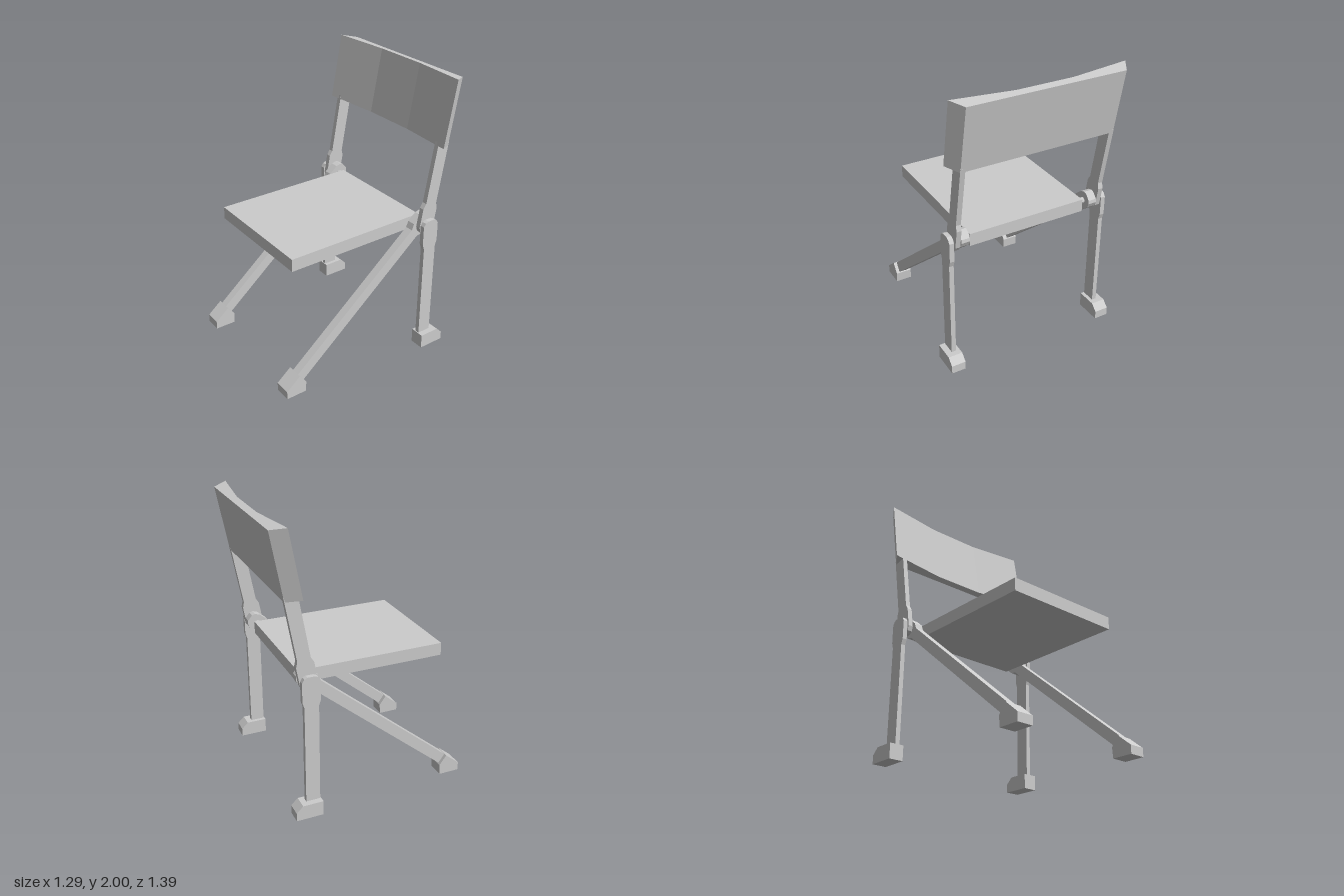
import * as THREE from 'three';

const material = new THREE.MeshStandardMaterial({ color: 0xcccccc, flatShading: true });

export function createModel() {
  const chair = new THREE.Group();
  chair.name = 'foldingChair';

  const add = (name, geometry) => {
    const mesh = new THREE.Mesh(geometry, material);
    mesh.name = name;
    chair.add(mesh);
    return mesh;
  };

  // Side profile of [z, y] points, extruded across x from x0 to x1
  const slab = (points, x0, x1) => {
    const shape = new THREE.Shape(points.map(([z, y]) => new THREE.Vector2(z, y)));
    return new THREE.ExtrudeGeometry(shape, { depth: x1 - x0, bevelEnabled: false })
      .rotateY(-Math.PI / 2).translate(x1, 0, 0);
  };

  // The same profile on both sides of the chair
  const pair = (name, points, x0, x1) => {
    add(name + 'Left', slab(points, x0, x1));
    add(name + 'Right', slab(points, -x1, -x0));
  };

  // Straight bar from a free end to a pivot, with a wider rounded hub round the pivot
  const bar = (end, pivot, half, hubHalf, before, after) => {
    const a = new THREE.Vector2(...end), p = new THREE.Vector2(...pivot);
    const u = p.clone().sub(a).normalize();
    const n = new THREE.Vector2(-u.y, u.x);
    const length = a.distanceTo(p);
    const edge = [
      [0, half], [length - before, half],
      [length - before + 0.04, hubHalf], [length + after * 0.45, hubHalf],
      [length + after * 0.85, hubHalf * 0.75], [length + after, hubHalf * 0.4],
    ];
    const at = (s, w) => [a.x + u.x * s + n.x * w, a.y + u.y * s + n.y * w];
    return [...edge.map(([s, w]) => at(s, w)),
      ...edge.slice().reverse().map(([s, w]) => at(s, -w))];
  };

  // Seat panel
  add('seat', new THREE.BoxGeometry(0.87, 0.09, 1.055).translate(0, 0.95, 0.037));

  // Backrest: hollowed front, flat back, leaning backwards
  const plan = new THREE.Shape([
    [-0.617, 0], [-0.2, 0.047], [0.2, 0.047], [0.617, 0], [0.555, 0.1], [-0.555, 0.1],
  ].map(([x, d]) => new THREE.Vector2(x, d)));
  const backrest = add('backrest',
    new THREE.ExtrudeGeometry(plan, { depth: 0.463, bevelEnabled: false }).rotateX(-Math.PI / 2));
  backrest.rotation.x = -0.185;
  backrest.position.set(0, 1.545, -0.51);

  // Posts carrying the backrest
  pair('backPost', bar([-0.568, 1.56], [-0.466, 0.99], 0.046, 0.062, 0.14, 0.085), 0.522, 0.557);

  // Upright rear legs and their feet
  pair('rearLeg', bar([-0.461, 0.08], [-0.461, 0.96], 0.05, 0.063, 0.15, 0.062), 0.567, 0.6);
  pair('rearFoot', [[-0.405, 0], [-0.405, 0.105], [-0.55, 0.105], [-0.597, 0.06], [-0.597, 0]],
    0.54, 0.643);

  // Slanted front legs and their feet
  pair('frontLeg', bar([0.58, 0.102], [-0.45, 0.962], 0.038, 0.06, 0.08, 0.085), 0.458, 0.518);
  pair('frontFoot', [[0.695, 0], [0.695, 0.06], [0.592, 0.145], [0.54, 0.075], [0.545, 0]],
    0.425, 0.543);

  // Pivot pins joining seat, legs and posts
  for (const [side, label] of [[1, 'Left'], [-1, 'Right']]) {
    add('pivotPin' + label, new THREE.CylinderGeometry(0.022, 0.022, 0.15, 8)
      .rotateZ(Math.PI / 2).translate(side * 0.505, 0.972, -0.464));
  }

  return chair;
}
